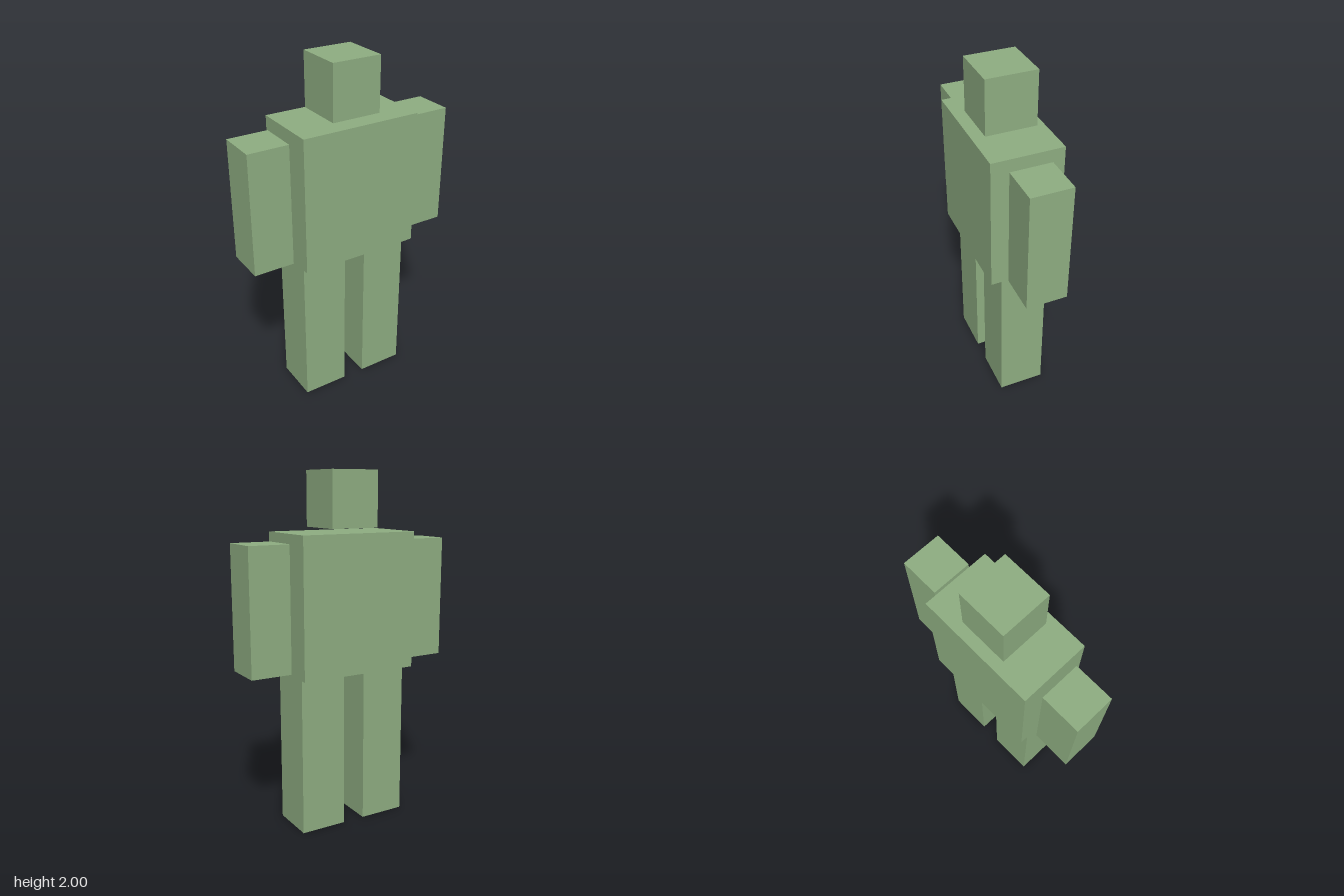
import * as THREE from 'three';

export function createModel() {
  const model = new THREE.Group();
  model.name = 'blockFigure';

  const sageGreen = new THREE.MeshStandardMaterial({ color: 0x8fae82 });
  sageGreen.name = 'sageGreen';

  // Box given by its size, sideways position and underside height
  function addBlock(name, [width, height, depth], x, bottom) {
    const mesh = new THREE.Mesh(new THREE.BoxGeometry(width, height, depth), sageGreen);
    mesh.name = name;
    mesh.position.set(x, bottom + height / 2, 0);
    model.add(mesh);
  }

  // Head floats just above the torso
  addBlock('head', [0.284, 0.307, 0.284], 0, 1.693);
  addBlock('torso', [0.695, 0.77, 0.4], 0, 0.9);

  // Mirrored limbs: arms hang clear of the torso, legs meet its underside
  for (const [side, sign] of [['left', 1], ['right', -1]]) {
    addBlock(`${side}Arm`, [0.232, 0.692, 0.232], sign * 0.498, 0.93);
    addBlock(`${side}Leg`, [0.266, 0.9, 0.266], sign * 0.198, 0);
  }

  return model;
}
